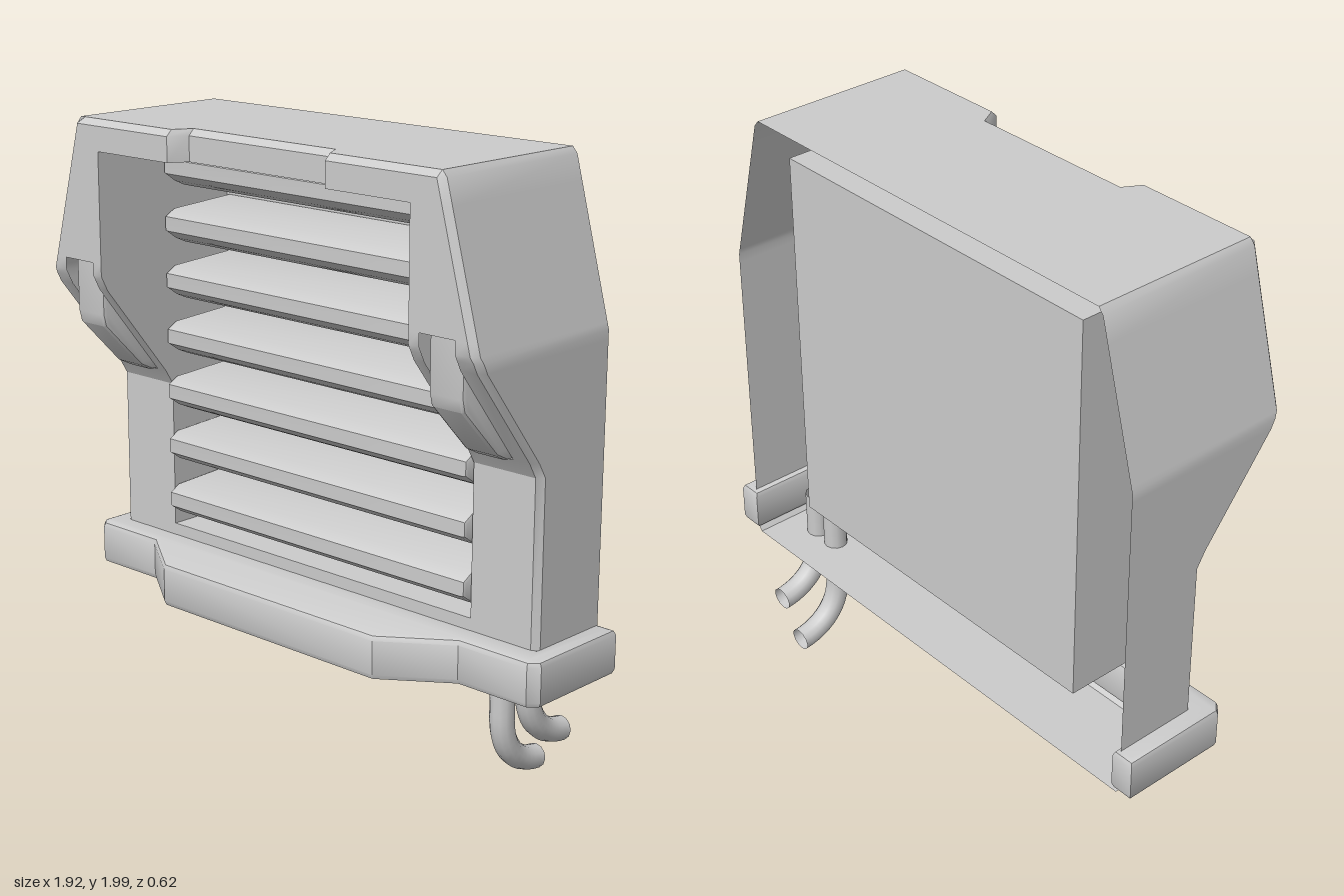
import * as THREE from 'three';
import { toCreasedNormals } from 'three/addons/utils/BufferGeometryUtils.js';

const BACK = -0.29, TUB_BACK = -0.25;
const material = new THREE.MeshStandardMaterial({ color: 0xcccccc, side: THREE.DoubleSide });

function lerpTable(table, t) {
  for (let i = 1; i < table.length; i++) {
    const [t0, v0] = table[i - 1], [t1, v1] = table[i];
    if (t <= t1) return v0 + (v1 - v0) * Math.max(0, (t - t0) / (t1 - t0));
  }
  return table[table.length - 1][1];
}

// Side profile and half width of the housing, both by height
const frontZ = y => lerpTable([[1.09, 0.01], [1.14, 0.04], [1.45, 0.285], [1.5, 0.31]], y);
const halfWidth = y => lerpTable([[0.39, 0.885], [0.41, 0.9], [1.48, 0.9], [1.98, 0.765], [2, 0.748]], y);
const surfaceZ = (x, y) => frontZ(y) - (y >= 1.9 ? lerpTable([[0.295, 0.06], [0.33, 0]], Math.abs(x)) : 0);

function mesh(name, geometry, crease = 0.6) {
  const m = new THREE.Mesh(toCreasedNormals(geometry, crease), material);
  m.name = name;
  return m;
}

function fromQuads(quads) {
  const pos = [];
  for (const [a, b, c, d] of quads) pos.push(...a, ...b, ...c, ...a, ...c, ...d);
  const g = new THREE.BufferGeometry();
  g.setAttribute('position', new THREE.Float32BufferAttribute(pos, 3));
  g.computeVertexNormals();
  return g;
}

// Extrude a polygon with bevels that stay inside its outline; centred along its depth
function prism(points, depth, bevel) {
  const shape = new THREE.Shape(points.map(p => new THREE.Vector2(...p)));
  const g = new THREE.ExtrudeGeometry(shape, {
    depth: depth - 2 * bevel, bevelEnabled: true, bevelSize: bevel,
    bevelThickness: bevel, bevelOffset: -bevel, bevelSegments: 2,
  });
  return g.translate(0, 0, bevel - depth / 2);
}

// Thin housing: a grid draped over front, sides, top and floor, with openings left out
function housing() {
  const ys = [0.39, 0.39, 0.41, 0.6, 1.09, 1.14, 1.45, 1.48, 1.5, 1.54, 1.9, 1.98, 2, 2];
  const half = [0.295, 0.33, 0.65, 0.69, 0.82, 0.88, 0.9, 0.9];
  const xs = [...half.map(x => -x).reverse(), ...half];
  const lastX = xs.length - 1, lastY = ys.length - 1;
  const point = (i, j) => {
    const y = ys[j], w = halfWidth(y), edge = Math.min(i, lastX - i);
    const x = edge < 2 ? Math.sign(xs[i]) * w
      : THREE.MathUtils.clamp(xs[i], 0.02 - w, w - 0.02);
    if (edge === 0 || j === 0 || j === lastY) return [x, y, BACK];
    const bevelled = edge === 1 || j === 1 || j === lastY - 1;
    return [x, y, surfaceZ(x, y) - (bevelled ? 0.02 : 0)];
  };
  const quads = [];
  for (let j = 0; j < lastY; j++) {
    for (let i = 0; i < lastX; i++) {
      const x = Math.abs(xs[i] + xs[i + 1]) / 2, y = (ys[j] + ys[j + 1]) / 2;
      const grille = x < 0.65 && y > 0.6 && y < 1.9;
      const slot = x > 0.69 && x < 0.82 && y > 1.14 && y < 1.54;
      const corner = (i === 0 || i === lastX - 1) && (j === 0 || j === lastY - 1);
      if (!grille && !slot && !corner) {
        quads.push([point(i, j), point(i + 1, j), point(i + 1, j + 1), point(i, j + 1)]);
      }
    }
  }
  return fromQuads(quads);
}

// Deep tray behind the grille opening
function tray() {
  const side = [0.6, 1.09, 1.14, 1.45, 1.5, 1.9];
  const top = [0.65, 0.33, 0.295, -0.295, -0.33, -0.65];
  const rim = [...side.map(y => [0.65, y]), ...top.slice(1).map(x => [x, 1.9]),
    ...side.slice(0, -1).reverse().map(y => [-0.65, y])];
  const quads = rim.map(([x, y], i) => {
    const [u, v] = rim[(i + 1) % rim.length];
    return [[x, y, surfaceZ(x, y)], [u, v, surfaceZ(u, v)], [u, v, TUB_BACK], [x, y, TUB_BACK]];
  });
  const z = TUB_BACK;
  quads.push([[-0.65, 0.6, z], [0.65, 0.6, z], [0.65, 1.9, z], [-0.65, 1.9, z]]);
  return fromQuads(quads);
}

// Open-ended pipe running down from the housing and bending to the back
function pipe(x, endY) {
  const path = new THREE.CurvePath(), z = -0.135, bendY = endY + 0.19;
  const v = (y, zz) => new THREE.Vector3(x, y, zz);
  path.add(new THREE.LineCurve3(v(0.55, z), v(bendY, z)));
  path.add(new THREE.CubicBezierCurve3(v(bendY, z), v(endY + 0.08, z), v(endY + 0.01, z - 0.07), v(endY, -0.31)));
  return new THREE.TubeGeometry(path, 24, 0.04, 12);
}

export function createModel() {
  const group = new THREE.Group();
  group.name = 'louvredHousing';
  group.add(mesh('housing', housing(), 0.5), mesh('grilleTray', tray(), 0.5));

  // Louvre slats
  const slat = [[-0.245, 0.062], [0, 0.048], [0.04, 0.025], [0.04, -0.022], [0, -0.05], [-0.04, -0.068], [-0.245, -0.068]];
  const slatGeometry = prism(slat, 1.29, 0.012).rotateY(-Math.PI / 2);
  for (let i = 0; i < 7; i++) {
    const m = mesh('slat', slatGeometry);
    m.position.y = 0.695 + i * 0.188;
    group.add(m);
  }

  // Lamp blocks set in the side slots
  const lamp = [[-0.08, 1.14], [0.06, 1.14], [0.11, 1.165], [0.26, 1.32], [0.27, 1.36], [0.27, 1.54], [-0.08, 1.54]];
  for (const s of [-1, 1]) {
    const m = mesh(s > 0 ? 'leftLamp' : 'rightLamp', prism(lamp, 0.13, 0.015).rotateY(-Math.PI / 2));
    m.position.x = s * 0.755;
    group.add(m);
  }

  // Bumper wrapping the base, stepping forward in the middle
  const outer = [[0.96, -0.305], [0.96, 0.06], [0.93, 0.09], [0.67, 0.09], [0.46, 0.24]];
  const inner = [[0.88, -0.305], [0.88, -0.015]];
  const mirror = list => list.map(([x, z]) => [-x, z]).reverse();
  const plan = [...outer, ...mirror(outer), ...inner.map(([x, z]) => [-x, z]), ...[...inner].reverse()];
  const bumper = mesh('bumper', prism(plan, 0.15, 0.02).rotateX(Math.PI / 2));
  bumper.position.y = 0.485;
  group.add(bumper);

  // Pipes
  group.add(mesh('longPipe', pipe(0.665, 0.05), 0.9), mesh('shortPipe', pipe(0.76, 0.175), 0.9));
  // Stand exactly on the ground
  const box = new THREE.Box3().setFromObject(group, true);
  group.children.forEach(c => { c.position.y -= box.min.y; });
  return group;
}
